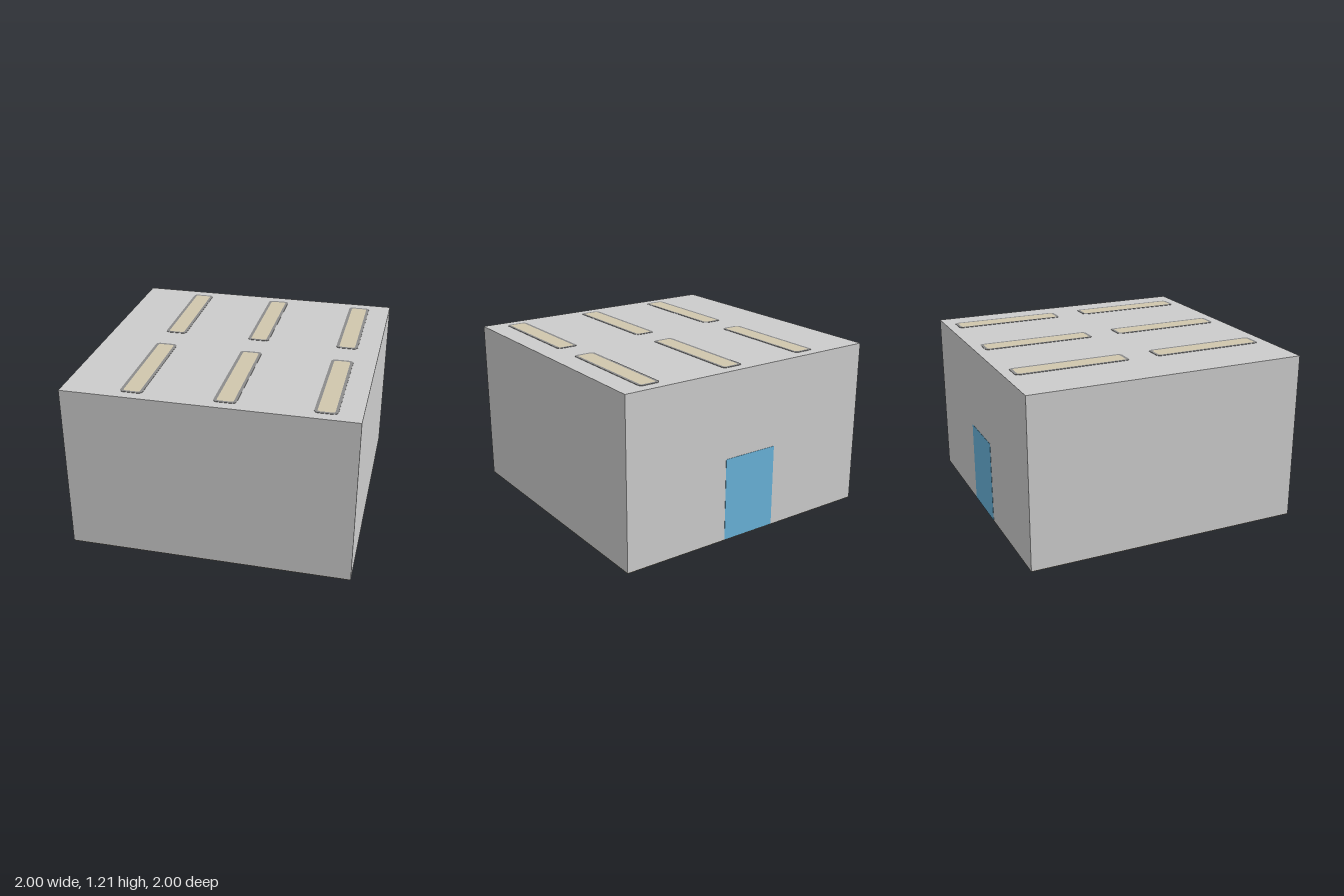
import * as THREE from 'three';

function makeMaterial(name, color) {
  const m = new THREE.MeshStandardMaterial({ color });
  m.name = name;
  return m;
}

// Rounded rectangle outline centred on the origin
function roundedRect(Target, w, h, r) {
  const x = w / 2, y = h / 2, p = new Target();
  p.moveTo(-x + r, -y);
  p.lineTo(x - r, -y);
  p.absarc(x - r, -y + r, r, -Math.PI / 2, 0);
  p.lineTo(x, y - r);
  p.absarc(x - r, y - r, r, 0, Math.PI / 2);
  p.lineTo(-x + r, y);
  p.absarc(-x + r, y - r, r, Math.PI / 2, Math.PI);
  p.lineTo(-x, -y + r);
  p.absarc(-x + r, -y + r, r, Math.PI, Math.PI * 1.5);
  return p;
}

export function createModel() {
  const model = new THREE.Group();
  model.name = 'room';
  const wallGrey = makeMaterial('wall grey', 0xcccccc);
  const frameGrey = makeMaterial('frame grey', 0x8c8c8c);
  const warmBeige = makeMaterial('warm beige', 0xd0c6ad);
  const doorBlue = makeMaterial('door blue', 0x68b2d9);

  function box(name, size, pos, material, parent = model) {
    const mesh = new THREE.Mesh(new THREE.BoxGeometry(...size), material);
    mesh.name = name;
    mesh.position.set(...pos);
    parent.add(mesh);
  }

  // Hollow shell: floor, four walls and a thin ceiling slab
  const T = 0.01, FLOOR = 0.004, EAVES = 1.2, TOP = 1.21;
  const wallH = EAVES - FLOOR, wallY = (EAVES + FLOOR) / 2;
  box('floor', [2, FLOOR, 2], [0, FLOOR / 2, 0], warmBeige);
  box('ceiling', [2, TOP - EAVES, 2], [0, (TOP + EAVES) / 2, 0], wallGrey);
  box('frontWall', [2, wallH, T], [0, wallY, 1 - T / 2], wallGrey);
  box('backWall', [2, wallH, T], [0, wallY, -1 + T / 2], wallGrey);
  box('leftWall', [T, wallH, 2 - 2 * T], [1 - T / 2, wallY, 0], wallGrey);
  box('rightWall', [T, wallH, 2 - 2 * T], [-1 + T / 2, wallY, 0], wallGrey);

  // Door plate in the middle of the back wall
  box('door', [0.42, 0.596, 0.004], [0, 0.302, -1], doorBlue);

  // Ceiling lights: a rounded frame around a pale panel, showing on both sides
  const W = 0.156, L = 0.82, RIM = 0.021;
  const frameShape = roundedRect(THREE.Shape, W, L, 0.03);
  frameShape.holes.push(roundedRect(THREE.Path, W - 2 * RIM, L - 2 * RIM, 0.016));
  const panelShape = roundedRect(THREE.Shape, W - 2 * RIM, L - 2 * RIM, 0.016);
  const extrude = (shape) => new THREE.ExtrudeGeometry(shape,
    { depth: 0.0145, bevelEnabled: false, curveSegments: 5 }).rotateX(-Math.PI / 2);
  const frameGeometry = extrude(frameShape);
  const panelGeometry = extrude(panelShape);

  for (const x of [-0.527, 0.107, 0.764]) {
    for (const z of [-0.515, 0.515]) {
      const light = new THREE.Group();
      light.name = 'ceilingLight';
      light.position.set(x, 1.198, z);
      const frame = new THREE.Mesh(frameGeometry, frameGrey);
      frame.name = 'lightFrame';
      const panel = new THREE.Mesh(panelGeometry, warmBeige);
      panel.name = 'lightPanel';
      light.add(frame, panel);
      model.add(light);
    }
  }
  return model;
}
